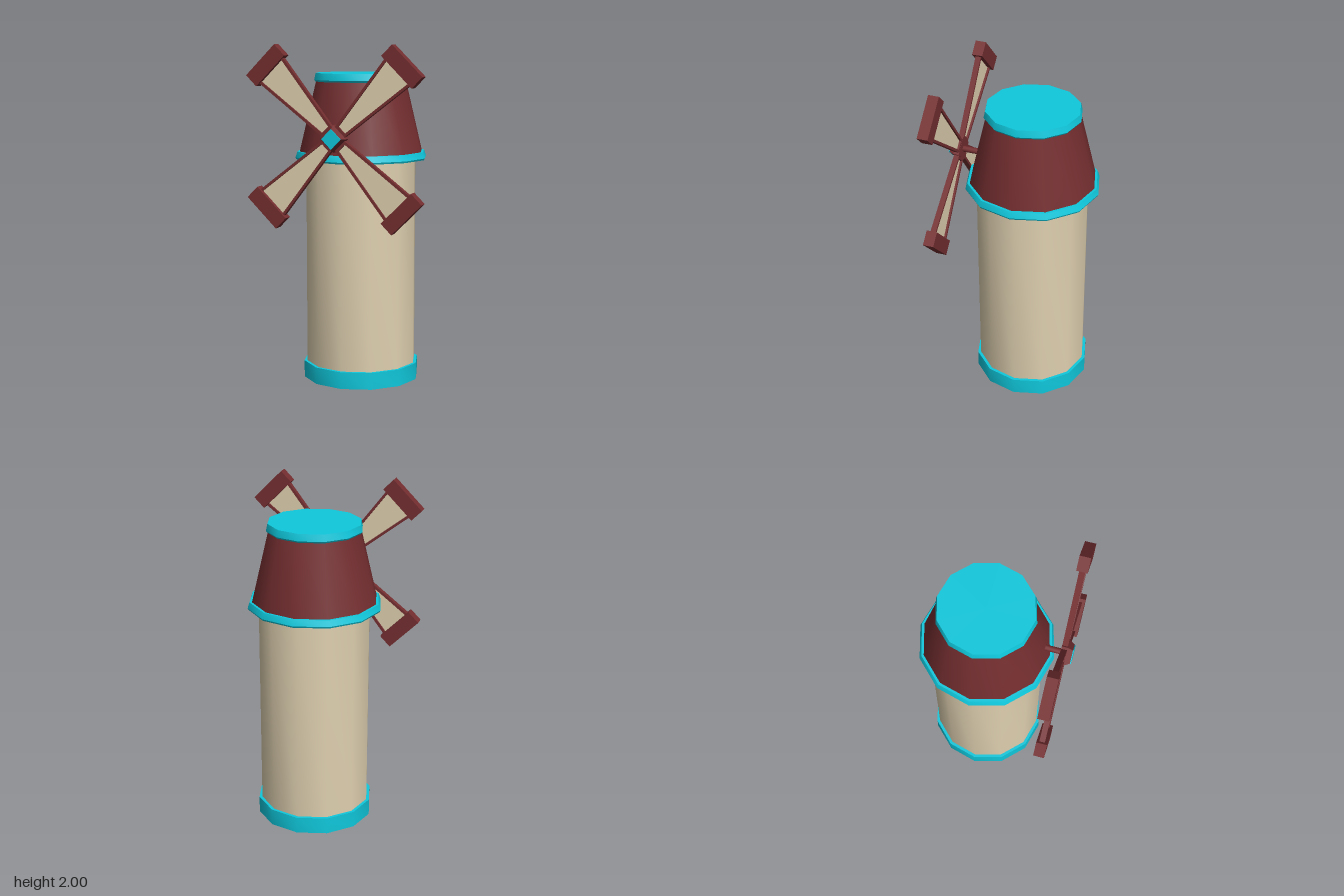
import * as THREE from 'three';
import { toCreasedNormals } from 'three/addons/utils/BufferGeometryUtils.js';

const SIDES = 12;
const TOWER_Z = -0.05;
const HUB_Y = 1.475;

export function createModel() {
  const red = new THREE.MeshStandardMaterial({ color: 0x742e30 });
  red.name = 'dark red';
  const cyan = new THREE.MeshStandardMaterial({ color: 0x0fc8dc });
  cyan.name = 'cyan';
  const cream = new THREE.MeshStandardMaterial({ color: 0xdfd0b0, side: THREE.DoubleSide });
  cream.name = 'cream';

  const model = new THREE.Group();
  model.name = 'windmill';

  function add(parent, name, geometry, material, x = 0, y = 0, z = 0) {
    const mesh = new THREE.Mesh(geometry, material);
    mesh.name = name;
    mesh.position.set(x, y, z);
    parent.add(mesh);
    return mesh;
  }

  // Twelve-sided turned parts, profile given as [radius, height]
  function turned(name, profile, material) {
    const points = profile.map(([r, y]) => new THREE.Vector2(r, y));
    const geometry = toCreasedNormals(new THREE.LatheGeometry(points, SIDES), 0.6);
    add(model, name, geometry, material, 0, 0, TOWER_Z);
  }

  // Tower: hollow wall, open at the foot
  turned('towerWall', [[0.33, 0.09], [0.33, 1.34]], cream);
  turned('baseRing', [[0.325, 0], [0.348, 0], [0.348, 0.1], [0.325, 0.1], [0.325, 0]], cyan);

  // Cap: eave ring, sloping roof and flat lid
  turned('eaveRing', [[0.325, 1.325], [0.39, 1.325], [0.395, 1.335], [0.383, 1.37], [0.35, 1.37]], cyan);
  turned('roof', [[0.37, 1.365], [0.268, 1.79]], red);
  turned('roofLid', [[0.255, 1.78], [0.274, 1.78], [0.281, 1.79], [0.272, 1.83], [0, 1.83]], cyan);

  // Axle and hub point along +z
  const rotor = new THREE.Group();
  rotor.name = 'rotor';
  rotor.position.y = HUB_Y;
  model.add(rotor);

  function alongZ(name, front, back, z0, z1, sides, material) {
    const geometry = toCreasedNormals(new THREE.CylinderGeometry(front, back, z1 - z0, sides), 0.9);
    add(rotor, name, geometry.rotateX(Math.PI / 2), material, 0, 0, (z0 + z1) / 2);
  }
  alongZ('axle', 0.018, 0.018, 0.24, 0.4, 8, red);
  alongZ('hubBack', 0.078, 0.078, 0.378, 0.412, 4, red);
  alongZ('hub', 0.058, 0.078, 0.412, 0.443, 4, red);
  alongZ('hubPlate', 0.058, 0.058, 0.443, 0.448, 4, cyan);

  // Tapered outline of one sail, pointing up
  function taper(Type, r0, w0, r1, w1) {
    return new Type([[-w0, r0], [w0, r0], [w1, r1], [-w1, r1]]
      .map(([x, y]) => new THREE.Vector2(x, y)));
  }
  const frameShape = taper(THREE.Shape, 0.03, 0.037, 0.54, 0.104);
  frameShape.holes.push(taper(THREE.Path, 0.07, 0.027, 0.532, 0.088));
  const frameGeometry = new THREE.ExtrudeGeometry(frameShape, { depth: 0.032, bevelEnabled: false });
  const clothGeometry = new THREE.ExtrudeGeometry(
    taper(THREE.Shape, 0.065, 0.03, 0.535, 0.092), { depth: 0.008, bevelEnabled: false });
  const tipGeometry = new THREE.BoxGeometry(0.247, 0.087, 0.063);

  // Four sails set on the diagonals
  for (let i = 0; i < 4; i++) {
    const sail = new THREE.Group();
    sail.name = 'sail' + (i + 1);
    sail.rotation.z = Math.PI / 4 + i * Math.PI / 2;
    add(sail, 'sailFrame', frameGeometry, red, 0, 0, 0.379);
    add(sail, 'sailCloth', clothGeometry, cream, 0, 0, 0.391);
    add(sail, 'sailTip', tipGeometry, red, 0, 0.573, 0.395);
    rotor.add(sail);
  }

  return model;
}
